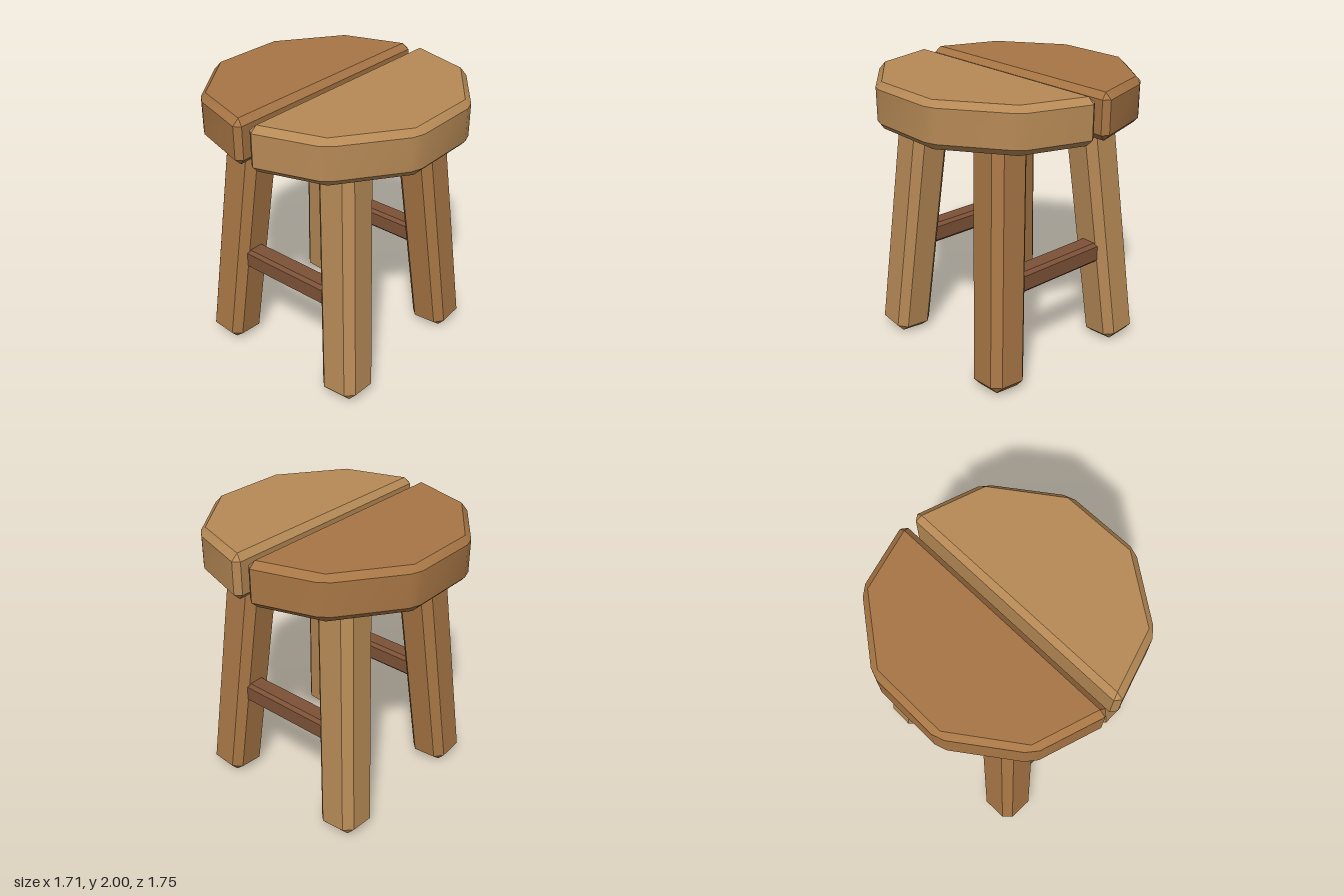
import * as THREE from 'three';
import { toCreasedNormals } from 'three/addons/utils/BufferGeometryUtils.js';

const lightWood = new THREE.MeshStandardMaterial({ color: 0xb78a56 });
const darkWood = new THREE.MeshStandardMaterial({ color: 0xa87645 });
const railWood = new THREE.MeshStandardMaterial({ color: 0x7d5237 });

// Chamfered prism along y. cap: n [x, z] corners; ring: 2n corners, two per cap corner.
// levels: bottom cap, lower ring, upper ring, top cap.
function chamferedPrism(cap, ring, levels) {
  const n = cap.length, m = ring.length, pos = [];
  const at = (loop, i, level) => {
    const [x, z] = loop[i % loop.length];
    return [x, levels[level], z];
  };
  const tri = (a, b, c) => pos.push(...a, ...b, ...c);
  const quad = (a, b, c, d) => { tri(a, b, c); tri(a, c, d); };

  for (let i = 0; i < m; i++) {
    quad(at(ring, i, 1), at(ring, i + 1, 1), at(ring, i + 1, 2), at(ring, i, 2));
  }
  for (let i = 0; i < n; i++) {
    const r = 2 * i;
    // corner facets, then edge chamfers
    tri(at(ring, r, 2), at(ring, r + 1, 2), at(cap, i, 3));
    tri(at(ring, r + 1, 1), at(ring, r, 1), at(cap, i, 0));
    quad(at(ring, r + 1, 2), at(ring, r + 2, 2), at(cap, i + 1, 3), at(cap, i, 3));
    quad(at(ring, r + 2, 1), at(ring, r + 1, 1), at(cap, i, 0), at(cap, i + 1, 0));
  }
  for (let i = 1; i < n - 1; i++) {
    tri(at(cap, 0, 3), at(cap, i, 3), at(cap, i + 1, 3));
    tri(at(cap, 0, 0), at(cap, i + 1, 0), at(cap, i, 0));
  }
  const geometry = new THREE.BufferGeometry();
  geometry.setAttribute('position', new THREE.Float32BufferAttribute(pos, 3));
  return toCreasedNormals(geometry, 0.48);
}

// Square beam centred on the origin, all edges chamfered by c
function beam(width, length, c) {
  const h = width / 2, k = h - c, l = length / 2;
  const cap = [[-k, k], [k, k], [k, -k], [-k, -k]];
  const ring = [[-h, k], [-k, h], [k, h], [h, k], [h, -k], [k, -h], [-k, -h], [-h, -k]];
  return chamferedPrism(cap, ring, [-l, c - l, l - c, l]);
}

function seatHalf() {
  const frontCap = [[0.075, 0.83], [0.505, 0.695], [0.815, 0.265]];
  const frontRing = [[0.033, 0.845], [0.075, 0.877], [0.485, 0.748], [0.555, 0.692], [0.83, 0.315], [0.857, 0.235]];
  const mirrored = (pts) => [...pts, ...pts.map(([x, z]) => [x, -z]).reverse()];
  return chamferedPrism(mirrored(frontCap), mirrored(frontRing), [1.69, 1.735, 1.96, 2]);
}

export function createModel() {
  const stool = new THREE.Group();
  stool.name = 'stool';
  const add = (name, geometry, material) => {
    const mesh = new THREE.Mesh(geometry, material);
    mesh.name = name;
    stool.add(mesh);
    return mesh;
  };

  // Seat: two halves with a gap between
  const seat = seatHalf();
  add('seatLeft', seat, lightWood);
  add('seatRight', seat, darkWood).rotation.y = Math.PI;

  // Splayed legs, wood tone alternating around the stool
  const legGeometry = beam(0.285, 1.73, 0.055);
  const tilt = 0.087;
  for (const sx of [1, -1]) {
    for (const sz of [1, -1]) {
      const name = (sz > 0 ? 'front' : 'back') + (sx > 0 ? 'Left' : 'Right') + 'Leg';
      const leg = add(name, legGeometry, sx === sz ? lightWood : darkWood);
      leg.position.set(sx * 0.468, 0.877, sz * 0.468);
      leg.rotation.set(-sz * tilt, 0, sx * tilt);
    }
  }

  // Rails joining the legs at front and back
  const railGeometry = beam(0.15, 0.9, 0.023);
  for (const sz of [1, -1]) {
    const rail = add(sz > 0 ? 'frontRail' : 'backRail', railGeometry, railWood);
    rail.position.set(0, 0.73, sz * 0.5);
    rail.rotation.z = Math.PI / 2;
  }
  return stool;
}
